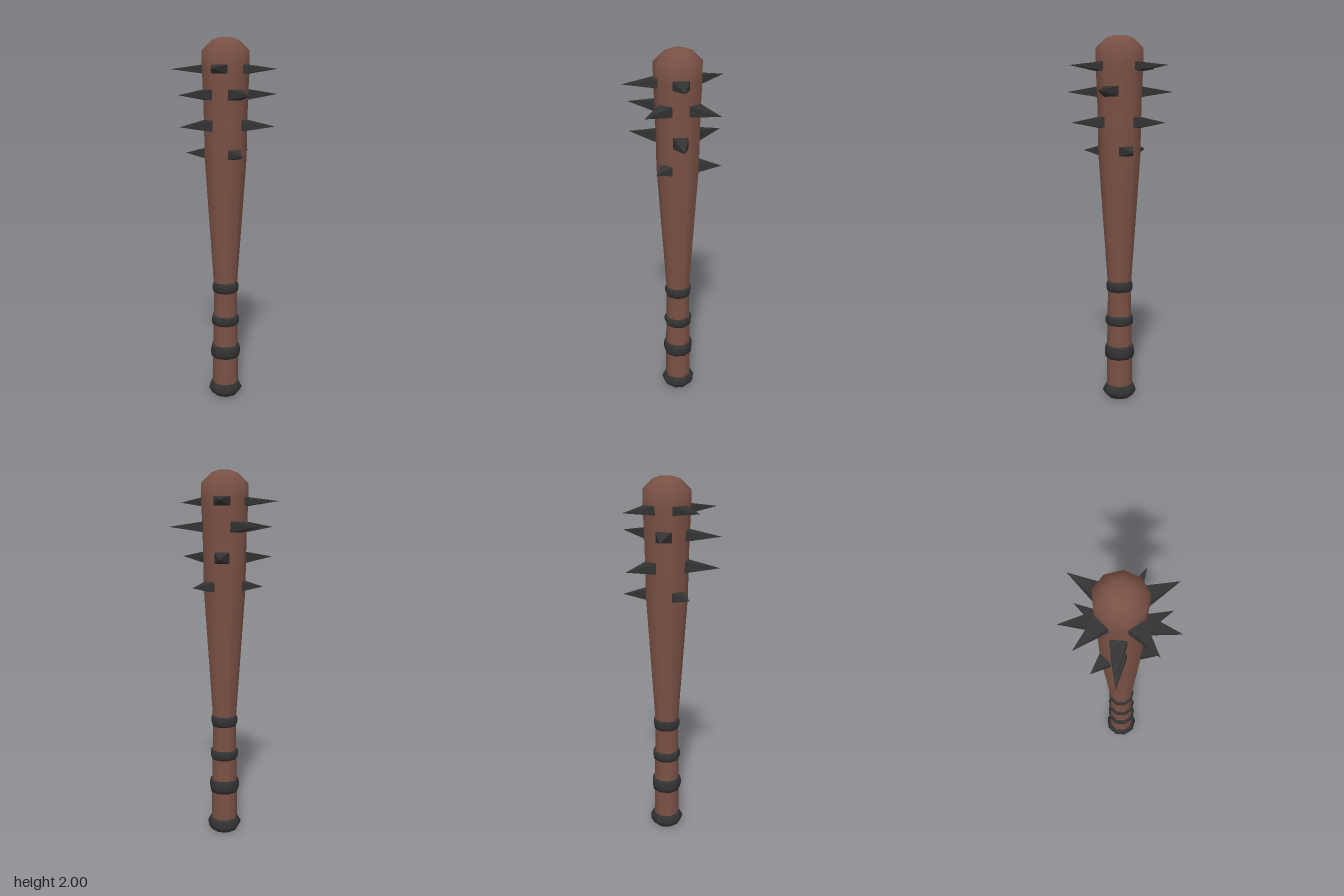
import * as THREE from 'three';

const SIDES = 9;
const wood = new THREE.MeshStandardMaterial({ color: 0x7a5145 });
const iron = new THREE.MeshStandardMaterial({ color: 0x333333 });
const ironFlat = new THREE.MeshStandardMaterial({ color: 0x333333, flatShading: true });

// Nine-sided turned part with a flat face towards the front; profile is [radius, y] from the bottom up
function turned(name, profile, material) {
  const points = profile.map(([r, y]) => new THREE.Vector2(r, y));
  const mesh = new THREE.Mesh(new THREE.LatheGeometry(points, SIDES, Math.PI), material);
  mesh.name = name;
  return mesh;
}

// Wedge-like spike pointing outwards from one face of the club
function spike(y, degrees, tip, radius, height) {
  const start = radius * Math.cos(Math.PI / SIDES) - 0.004;
  const geometry = new THREE.ConeGeometry(Math.SQRT1_2, 1, 4, 1)
    .rotateY(Math.PI / 4)
    .rotateX(Math.PI / 2)
    .translate(0, 0, 0.5)
    .scale(2 * radius * Math.sin(Math.PI / SIDES), height, tip - start)
    .translate(0, y, start)
    .rotateY(THREE.MathUtils.degToRad(degrees));
  const mesh = new THREE.Mesh(geometry, ironFlat);
  mesh.name = 'spike';
  return mesh;
}

export function createModel() {
  const model = new THREE.Group();
  model.name = 'spikedClub';
  const club = new THREE.Group();
  club.name = 'club';
  club.position.z = -0.011;
  model.add(club);

  // Wooden shaft, widening to a rounded head
  club.add(turned('shaft', [
    [0.073, 0.04], [0.072, 0.27], [0.068, 0.45], [0.065, 0.65],
    [0.115, 1.38], [0.117, 1.55], [0.121, 1.71], [0.127, 1.84],
    [0.127, 1.935], [0.073, 1.987], [0.035, 2], [0, 2],
  ], wood));

  // Pommel
  club.add(turned('pommel', [
    [0, 0], [0.07, 0.002], [0.08, 0.012], [0.096, 0.04], [0.078, 0.075], [0.065, 0.077],
  ], iron));

  // Grip bands: centre height, half height, radius
  for (const [y, h, r] of [[0.27, 0.036, 0.084], [0.455, 0.026, 0.079], [0.65, 0.029, 0.074]]) {
    club.add(turned('gripBand', [
      [r - 0.02, y - h], [r - 0.006, y - h], [r, y - h * 0.4],
      [r, y + h * 0.4], [r - 0.006, y + h], [r - 0.02, y + h],
    ], iron));
  }

  // Four rings of spikes: height, shaft radius, spike height, [direction in degrees, reach]
  const rings = [
    [1.84, 0.127, 0.046, [[0, 0.292], [80, 0.292], [200, 0.292], [280, 0.292]]],
    [1.71, 0.121, 0.056, [[40, 0.291], [120, 0.291], [240, 0.291], [320, 0.291]]],
    [1.55, 0.117, 0.06, [[80, 0.282], [200, 0.28], [320, 0.288]]],
    [1.4, 0.115, 0.052, [[40, 0.2], [160, 0.228], [280, 0.213]]],
  ];
  rings.forEach(([y, radius, height, spikes], i) => {
    const ring = new THREE.Group();
    ring.name = 'spikeRing' + (i + 1);
    for (const [degrees, tip] of spikes) ring.add(spike(y, degrees, tip, radius, height));
    club.add(ring);
  });

  return model;
}
